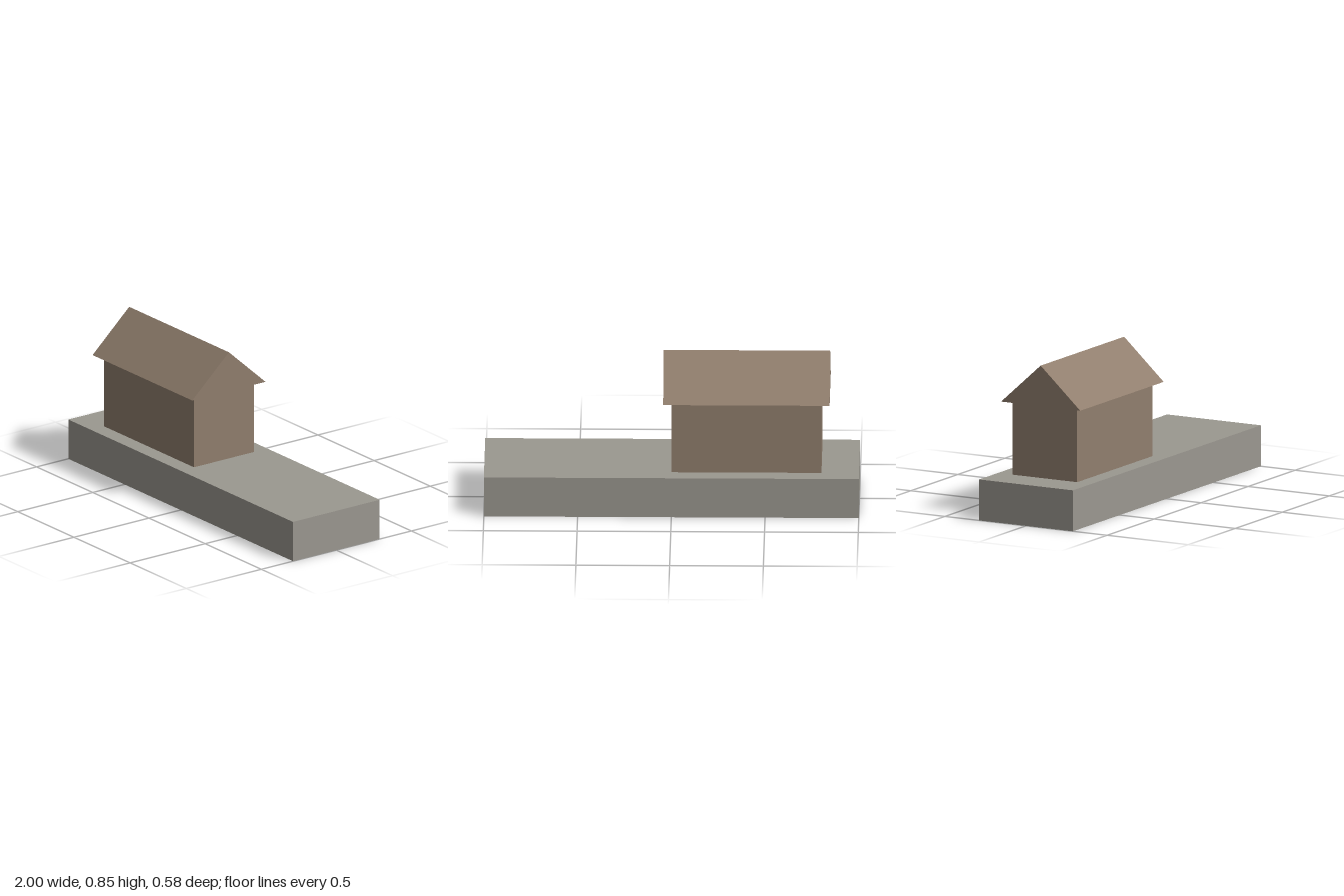
import * as THREE from 'three';

const stone = new THREE.MeshStandardMaterial({ name: 'grey stone', color: 0x9b9890, side: THREE.DoubleSide });
const brown = new THREE.MeshStandardMaterial({ name: 'warm brown', color: 0x917f6e, side: THREE.DoubleSide });

// Box shell that keeps only the listed faces (0 +x, 1 -x, 2 +y, 3 -y, 4 +z, 5 -z)
function boxShell(x0, x1, y0, y1, halfDepth, faces) {
  const g = new THREE.BoxGeometry(x1 - x0, y1 - y0, 2 * halfDepth);
  g.translate((x0 + x1) / 2, (y0 + y1) / 2, 0);
  const index = Array.from(g.index.array);
  g.setIndex(faces.flatMap(f => index.slice(f * 6, f * 6 + 6)));
  g.clearGroups();
  return g;
}

// Two slopes and two gable ends, open underneath
function gableRoof(x0, x1, eaveY, ridgeY, halfDepth) {
  const [a, b, c] = [[eaveY, halfDepth], [ridgeY, 0], [eaveY, -halfDepth]];
  const L = p => [x0, ...p], R = p => [x1, ...p];
  const triangles = [
    L(a), R(a), R(b), L(a), R(b), L(b), // front slope
    R(c), L(c), L(b), R(c), L(b), R(b), // back slope
    R(a), R(c), R(b),                   // gable at +x
    L(c), L(a), L(b),                   // gable at -x
  ];
  const g = new THREE.BufferGeometry();
  g.setAttribute('position', new THREE.Float32BufferAttribute(triangles.flat(), 3));
  g.computeVertexNormals();
  return g;
}

export function createModel() {
  const model = new THREE.Group();
  model.name = 'houseOnPlinth';
  const add = (name, geometry, material) => {
    const mesh = new THREE.Mesh(geometry, material);
    mesh.name = name;
    model.add(mesh);
  };

  // Long plinth, hollow and open at the bottom
  add('plinth', boxShell(-1, 1, 0, 0.223, 0.289, [0, 1, 2, 4, 5]), stone);
  // Four house walls
  add('walls', boxShell(-0.8, 0, 0.223, 0.624, 0.2, [0, 1, 4, 5]), brown);
  // Overhanging roof
  add('roof', gableRoof(-0.844, 0.044, 0.624, 0.845, 0.244), brown);

  return model;
}
